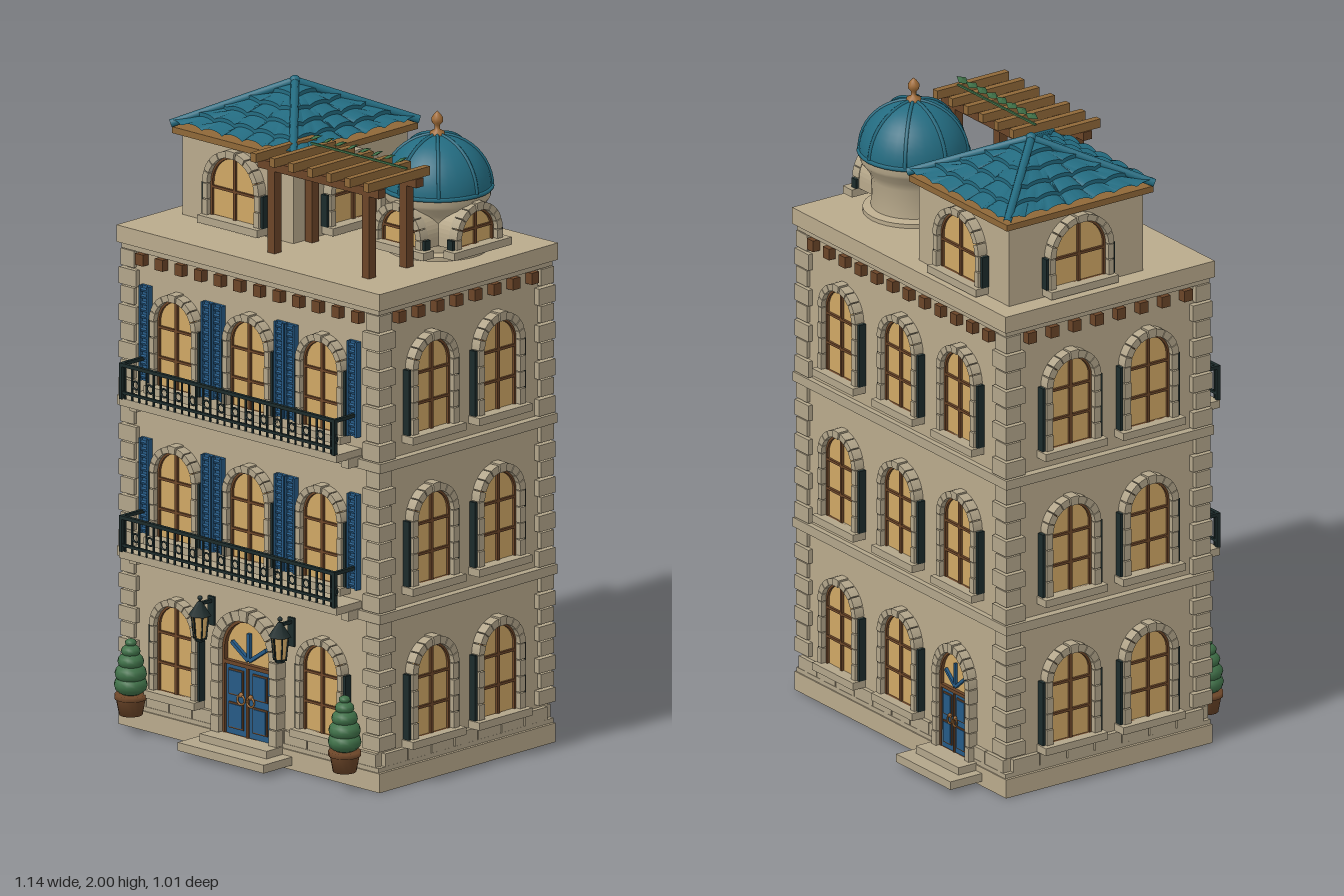
import * as THREE from 'three';
import { mergeGeometries, toCreasedNormals } from 'three/addons/utils/BufferGeometryUtils.js';

const mat = (name, color) => {
  const m = new THREE.MeshStandardMaterial({ color });
  m.name = name;
  return m;
};
const M = {
  wall: mat('wall plaster', 0xb9aa8c), trim: mat('trim stone', 0xb2a58a), glass: mat('lit glass', 0xcfa765),
  teal: mat('teal tile', 0x236b80), blue: mat('blue paint', 0x265a85), wood: mat('dark wood', 0x6b4528),
  oak: mat('light wood', 0x8f6838), leaf: mat('leaf green', 0x3f7048), iron: mat('dark iron', 0x1c2b2b),
  bronze: mat('bronze', 0xa06c38),
};
const CZ = -0.005, HX = 0.525, HZ = 0.37; // wall block centre and half sizes

const boxG = (w, h, d, x = 0, y = 0, z = 0) => new THREE.BoxGeometry(w, h, d).translate(x, y, z);
const at = (geo, x, y, z) => geo.translate(x, y, z);
const merge = (list) => mergeGeometries(list.map((g) => (g.index ? g.toNonIndexed() : g)));
function add(parent, name, material, geos) {
  const mesh = new THREE.Mesh(Array.isArray(geos) ? merge(geos) : geos, material);
  mesh.name = name;
  parent.add(mesh);
  return mesh;
}
function group(parent, name) {
  const g = new THREE.Group();
  g.name = name;
  if (parent) parent.add(g);
  return g;
}
const extrude = (shape, depth) => new THREE.ExtrudeGeometry(shape, { depth, bevelEnabled: false, curveSegments: 12 });

// Arched panel standing on y = 0: straight height h, then a half circle of radius r
function archShape(r, h) {
  const s = new THREE.Shape();
  s.moveTo(-r, 0).lineTo(r, 0).lineTo(r, h).absarc(0, h, r, 0, Math.PI, false);
  s.lineTo(-r, 0);
  return s;
}
// Stone surround: jamb blocks and wedge stones
function surround(r, h, t, depth, stones = 9) {
  const list = [], rows = Math.max(1, Math.round(h / 0.052)), bh = h / rows;
  for (const s of [-1, 1]) for (let i = 0; i < rows; i++)
    list.push(boxG(t, bh - 0.003, depth - (i % 2) * 0.004, s * (r + t / 2), bh * (i + 0.5), depth / 2));
  for (let i = 0; i < stones; i++) {
    const a = (i * Math.PI) / stones + 0.015, b = ((i + 1) * Math.PI) / stones - 0.015;
    const key = i === (stones - 1) / 2 ? 0.004 : 0;
    const s = new THREE.Shape();
    s.absarc(0, 0, r + t + key, a, b, false).absarc(0, 0, r, b, a, true);
    list.push(at(extrude(s, depth + key), 0, h, 0));
  }
  return list;
}
function ringShape(r, h, t) {
  const s = archShape(r, h);
  s.holes.push(archShape(r - t, h));
  return s;
}
function makeWindow(r, h, t, sillW) {
  const g = group(null, 'window'), top = h + r;
  add(g, 'windowGlass', M.glass, at(extrude(archShape(r, h), 0.006), 0, 0, 0.002));
  const bars = [at(extrude(ringShape(r, h, 0.007), 0.014), 0, 0, 0.002), boxG(0.01, top, 0.012, 0, top / 2, 0.01)];
  for (const f of h > 0.1 ? [0.32, 0.66] : [0.45]) bars.push(boxG(2 * r * 0.97, 0.008, 0.012, 0, top * f, 0.01));
  add(g, 'windowBars', M.wood, bars);
  add(g, 'windowSurround', M.trim, surround(r, h, t, 0.033));
  add(g, 'windowEdge', M.iron, [-1, 1].map((s) => boxG(0.01, h, 0.024, s * (r + t + 0.005), h / 2, 0.012)));
  add(g, 'windowSill', M.trim, boxG(sillW, 0.024, 0.047, 0, -0.012, 0.0235));
  return g;
}
function makeDoor() {
  const g = group(null, 'door'), r = 0.105, h = 0.265, leafH = 0.225;
  add(g, 'doorGlass', M.glass, at(extrude(archShape(r, h), 0.006), 0, 0, 0.002));
  add(g, 'doorSurround', M.trim, surround(r, h, 0.032, 0.04, 11));
  add(g, 'doorFrame', M.wood, [at(extrude(ringShape(r, h, 0.009), 0.02), 0, 0, 0.002),
    boxG(0.19, 0.012, 0.02, 0, leafH, 0.014), boxG(0.008, leafH, 0.024, 0, leafH / 2, 0.012)]);
  add(g, 'doorLeaves', M.blue, [-1, 1].map((s) => boxG(0.088, leafH, 0.014, s * 0.048, leafH / 2, 0.01)));
  add(g, 'doorMouldings', M.wood, [-1, 1].flatMap((s) => [0.06, 0.165].map((y) =>
    boxG(0.062, 0.082, 0.006, s * 0.05, y, 0.018))));
  add(g, 'doorPanels', M.blue, [-1, 1].flatMap((s) => [0.06, 0.165].map((y) =>
    boxG(0.052, 0.072, 0.006, s * 0.05, y, 0.021))));
  add(g, 'fanlightBars', M.blue, [0.6, Math.PI / 2, Math.PI - 0.6].map((a) =>
    boxG(0.085, 0.011, 0.012, 0.045).rotateZ(a).translate(0, 0.24, 0.014)));
  add(g, 'doorHandles', M.bronze, [-1, 1].flatMap((s) => [
    new THREE.TorusGeometry(0.015, 0.0035, 6, 14).translate(s * 0.02, 0.118, 0.03),
    new THREE.SphereGeometry(0.008, 8, 6).translate(s * 0.02, 0.133, 0.029)]));
  return g;
}
// Place a piece on one of the four walls of a block
function onWall(parent, piece, side, u, y, cx = 0, cz = CZ, hx = HX, hz = HZ) {
  const p = { front: [cx + u, cz + hz, 0], back: [cx + u, cz - hz, Math.PI],
    left: [cx + hx, cz + u, Math.PI / 2], right: [cx - hx, cz + u, -Math.PI / 2] }[side];
  piece.position.set(p[0], y, p[1]);
  piece.rotation.y = p[2];
  parent.add(piece);
}

function buildBody(root) {
  const g = group(root, 'mainBody');
  add(g, 'walls', M.wall, boxG(2 * HX, 1.49, 2 * HZ, 0, 0.785, CZ));
  add(g, 'base', M.wall, boxG(1.09, 0.06, 0.77, 0, 0.03, CZ));
  add(g, 'roofSlab', M.wall, boxG(1.1, 0.053, 0.78, 0, 1.5435, CZ));
  add(g, 'floorBands', M.trim, [[0.545, 0.03, 1.1, 0.775], [1.02, 0.03, 1.1, 0.775], [1.508, 0.018, 1.075, 0.76],
    [0.068, 0.014, 1.076, 0.765]].map(([y, h, w, d]) => boxG(w, h, d, 0, y, CZ)));
  // Corner blocks, alternating long and short
  const quoins = [];
  for (const [y0, y1] of [[0.125, 0.53], [0.56, 1.005], [1.035, 1.5]]) for (let i = 0; i < 8; i++) {
    const s = (y1 - y0) / 8, w = i % 2 ? 0.055 : 0.072, e = i % 2 ? 0.016 : 0.02;
    for (const sx of [-1, 1]) for (const sz of [-1, 1])
      quoins.push(boxG(w, s - 0.006, w, sx * (HX + e - w / 2), y0 + s * (i + 0.5), CZ + sz * (HZ + e - 0.005 - w / 2)));
  }
  add(g, 'quoins', M.trim, quoins);
  // Plinth stones and corbels around all sides
  const plinth = [], corbels = [];
  for (let i = 0; i < 11; i++) for (const s of [-1, 1]) plinth.push(boxG(0.092, 0.04, 0.02, -0.48 + i * 0.096, 0.096, CZ + s * (HZ + 0.003)));
  for (let i = 0; i < 7; i++) for (const s of [-1, 1]) plinth.push(boxG(0.02, 0.04, 0.097, s * (HX + 0.005), 0.096, CZ - 0.306 + i * 0.102));
  for (let i = 0; i < 12; i++) for (const s of [-1, 1]) corbels.push(boxG(0.032, 0.036, 0.034, -0.451 + i * 0.082, 1.48, CZ + s * (HZ + 0.008)));
  for (let i = 0; i < 8; i++) for (const s of [-1, 1]) corbels.push(boxG(0.034, 0.036, 0.032, s * (HX + 0.01), 1.48, CZ - 0.29 + i * 0.083));
  add(g, 'plinthStones', M.trim, plinth);
  add(g, 'corbels', M.wood, corbels);

  // Windows on each floor, with doors at ground level
  const narrow = makeWindow(0.077, 0.202, 0.02, 0.21), wide = makeWindow(0.077, 0.205, 0.024, 0.232);
  [0.14, 0.622, 1.098].forEach((y, floor) => {
    for (const u of [-0.305, 0, 0.305]) {
      if (floor || u) onWall(g, narrow.clone(), 'front', u, y);
      if (floor || u >= 0) onWall(g, narrow.clone(), 'back', u, y);
    }
    for (const side of ['left', 'right']) for (const u of [-0.14, 0.15]) onWall(g, wide.clone(), side, u, y);
  });
  const door = makeDoor(), backDoor = door.clone();
  backDoor.name = 'backDoor';
  backDoor.scale.set(0.7, 0.88, 0.8);
  onWall(g, door, 'front', 0, 0.065);
  onWall(g, backDoor, 'back', -0.28, 0.065);
  add(g, 'frontSteps', M.trim, [boxG(0.36, 0.026, 0.15, 0, 0.028, 0.43), boxG(0.28, 0.024, 0.09, 0, 0.053, 0.405)]);
  add(g, 'backSteps', M.trim, [boxG(0.28, 0.026, 0.15, -0.28, 0.028, -0.432), boxG(0.22, 0.024, 0.08, -0.28, 0.053, -0.415)]);
}

function buildFrontDetails(root) {
  const g = group(root, 'frontDetails');
  for (const y of [0.56, 1.04]) {
    // Balcony slab, brackets and railing
    const b = group(g, 'balcony');
    b.position.y = y;
    add(b, 'balconySlab', M.trim, [boxG(0.91, 0.024, 0.11, 0, 0.012, 0.418),
      ...[-0.443, 0.443].map((x) => boxG(0.03, 0.03, 0.06, x, -0.013, 0.395))]);
    const rail = [boxG(0.9, 0.011, 0.012, 0, 0.13, 0.472), boxG(0.9, 0.008, 0.009, 0, 0.043, 0.472)];
    for (const s of [-1, 1]) rail.push(boxG(0.011, 0.011, 0.11, s * 0.445, 0.13, 0.418), boxG(0.012, 0.112, 0.012, s * 0.445, 0.078, 0.472));
    for (let i = 0; i < 30; i++) {
      const x = -0.43 + (i * 0.86) / 29;
      rail.push(boxG(0.005, 0.106, 0.005, x, 0.076, 0.472));
      if (i % 2) rail.push(new THREE.TorusGeometry(0.013, 0.003, 5, 12).translate(x + 0.015, 0.075, 0.472));
    }
    add(b, 'balconyRailing', M.iron, rail);
    // Louvred shutters
    const shutters = [];
    for (const x of [-0.305, 0, 0.305]) for (const s of [-1, 1]) {
      const sx = x + s * 0.13;
      shutters.push(boxG(0.041, 0.3, 0.01, sx, 0.21, 0.373));
      for (const e of [-1, 1]) shutters.push(boxG(0.007, 0.3, 0.016, sx + e * 0.017, 0.21, 0.38));
      for (let i = 0; i < 14; i++) shutters.push(boxG(0.028, 0.009, 0.008, 0, 0, 0).rotateX(0.5).translate(sx, 0.073 + i * 0.021, 0.381));
    }
    add(b, 'shutters', M.blue, shutters);
  }
  for (const s of [-1, 1]) {
    // Wall lantern
    const l = group(g, 'lantern');
    l.position.set(s * 0.167, 0, 0.42);
    add(l, 'lanternGlass', M.glass, new THREE.CylinderGeometry(0.026, 0.018, 0.072, 6).translate(0, 0.39, 0));
    const frame = [new THREE.CylinderGeometry(0.006, 0.036, 0.045, 6).translate(0, 0.448, 0),
      new THREE.SphereGeometry(0.008, 8, 6).translate(0, 0.48, 0), new THREE.CylinderGeometry(0.02, 0.014, 0.012, 6).translate(0, 0.35, 0),
      boxG(0.01, 0.01, 0.06, 0, 0.462, -0.03), boxG(0.026, 0.09, 0.01, 0, 0.43, -0.052)];
    for (let i = 0; i < 6; i++) frame.push(boxG(0.004, 0.074, 0.004, 0, 0, 0.023).rotateX(0.1).rotateY((i * Math.PI) / 3).translate(0, 0.39, 0));
    add(l, 'lanternFrame', M.iron, frame);
    // Potted topiary
    const t = group(g, 'topiary');
    t.position.set(s * 0.447, 0, 0.43);
    const v = (x, y) => new THREE.Vector2(x, y);
    add(t, 'pot', M.wood, new THREE.LatheGeometry([v(0, 0.06), v(0.036, 0.06), v(0.045, 0.108), v(0.05, 0.11), v(0.05, 0.125), v(0, 0.125)], 14));
    add(t, 'foliage', M.leaf, [[0.052, 0.155], [0.05, 0.19], [0.041, 0.228], [0.03, 0.26], [0.018, 0.286]].map(([r, y]) =>
      new THREE.SphereGeometry(r, 12, 8).scale(1, 0.68, 1).translate(0, y, 0)));
  }
}

// One tiled slope of a hipped roof: barrel waves across, stepped rows upward
function tiledSlope(hw, depth, rise) {
  const nu = 72, rows = 5, pos = [], idx = [];
  for (let j = 0; j < rows * 2; j++) {
    const v = Math.ceil(j / 2) / rows, lift = j % 2 ? 0.001 : 0.013;
    for (let i = 0; i <= nu; i++) {
      const x = hw * (1 - v) * ((2 * i) / nu - 1);
      pos.push(x, rise * v + lift + 0.015 * Math.sqrt(Math.abs(Math.cos((Math.PI * x) / 0.084))) * (1 - v * 0.5), depth * (1 - v));
      const a = j * (nu + 1) + i;
      if (j && i < nu) idx.push(a - nu - 1, a - nu, a + 1, a - nu - 1, a + 1, a);
    }
  }
  const geo = new THREE.BufferGeometry();
  geo.setAttribute('position', new THREE.Float32BufferAttribute(pos, 3));
  geo.setIndex(idx);
  return toCreasedNormals(geo, 0.7);
}
function buildPavilion(root) {
  const g = group(root, 'roofPavilion'), cx = -0.253, cz = -0.085, hx = 0.232, hz = 0.25, ex = 0.256, ez = 0.276;
  add(g, 'pavilionWalls', M.wall, boxG(2 * hx, 0.26, 2 * hz, cx, 1.7, cz));
  add(g, 'pavilionEaves', M.oak, boxG(2 * ex - 0.006, 0.02, 2 * ez - 0.006, cx, 1.836, cz));
  const win = makeWindow(0.098, 0.1, 0.02, 0.25);
  for (const side of ['front', 'back', 'left', 'right']) onWall(g, win.clone(), side, 0, 1.6, cx, cz, hx, hz);
  const roof = group(g, 'pavilionRoof'), rise = 0.13;
  roof.position.set(cx, 1.842, cz);
  for (let k = 0; k < 4; k++) {
    const slope = add(roof, 'tiledSlope', M.teal, k % 2 ? tiledSlope(ez, ex, rise) : tiledSlope(ex, ez, rise));
    slope.material = M.teal;
    slope.rotation.y = (k * Math.PI) / 2;
  }
  const hips = [];
  for (const sx of [-1, 1]) for (const sz of [-1, 1])
    hips.push(new THREE.TubeGeometry(new THREE.LineCurve3(new THREE.Vector3(sx * ex, 0.014, sz * ez), new THREE.Vector3(0, rise + 0.013, 0)), 8, 0.013, 8));
  add(roof, 'hipTiles', M.teal, [...hips, new THREE.SphereGeometry(0.018, 10, 8).translate(0, rise + 0.012, 0)]);
}

function buildCupola(root) {
  const g = group(root, 'cupola'), R = 0.166, v = (x, y) => new THREE.Vector2(x, y);
  g.position.set(0.32, 0, -0.108);
  add(g, 'drum', M.wall, toCreasedNormals(new THREE.LatheGeometry([v(0.155, 1.565), v(0.155, 1.583), v(0.13, 1.59), v(0.128, 1.68),
    v(0.138, 1.705), v(0.158, 1.73), v(0.163, 1.74), v(0.163, 1.762), v(0, 1.762)], 32), 0.5));
  add(g, 'dome', M.teal, new THREE.SphereGeometry(R, 32, 12, 0, Math.PI * 2, 0, Math.PI / 2).translate(0, 1.762, 0));
  const ribs = [new THREE.TorusGeometry(R, 0.007, 6, 32).rotateX(Math.PI / 2).translate(0, 1.765, 0)];
  for (let i = 0; i < 4; i++) ribs.push(new THREE.TorusGeometry(R, 0.006, 6, 24, Math.PI).rotateY((i * Math.PI) / 4).translate(0, 1.762, 0));
  add(g, 'domeRibs', M.teal, ribs);
  add(g, 'finial', M.bronze, new THREE.LatheGeometry([v(0.024, 1.92), v(0.022, 1.935), v(0.008, 1.942), v(0.008, 1.955),
    v(0.017, 1.965), v(0.018, 1.978), v(0.01, 1.99), v(0, 2)], 14));
  // Arched dormers to the front and the left
  for (const a of [0, Math.PI / 2]) {
    const d = group(g, 'cupolaDormer');
    d.position.y = 1.615;
    d.rotation.y = a;
    add(d, 'dormerBlock', M.wall, at(extrude(archShape(0.098, 0.03), 0.085), 0, 0, 0.065));
    const w = makeWindow(0.078, 0.03, 0.022, 0.25);
    w.position.z = 0.145;
    d.add(w);
  }
}

function buildPergola(root) {
  const g = group(root, 'pergola'), wood = [], rafters = [], leaves = [];
  for (const z of [0.27, 0.105]) {
    wood.push(boxG(0.505, 0.027, 0.032, 0.198, 1.843, z));
    for (const x of [0, 0.395]) wood.push(boxG(0.03, 0.265, 0.03, x, 1.7, z));
  }
  for (let i = 0; i < 7; i++) rafters.push(boxG(0.022, 0.028, 0.268, -0.038 + i * 0.0785, 1.87, 0.188));
  for (let i = 0; i < 8; i++) leaves.push(new THREE.OctahedronGeometry(0.026).scale(0.85, 0.2, 0.95)
    .rotateZ(i % 2 ? 0.45 : 0.3).rotateY(0.5).translate(0.04 + i * 0.051, 1.91, 0.13));
  add(g, 'pergolaPostsAndBeams', M.wood, wood);
  add(g, 'pergolaRafters', M.oak, rafters);
  add(g, 'vineLeaves', M.leaf, leaves);
  add(g, 'vineStem', M.leaf, boxG(0.4, 0.006, 0.006, 0.22, 1.888, 0.13));
}

export function createModel() {
  const root = group(null, 'townhouse');
  buildBody(root);
  buildFrontDetails(root);
  buildPavilion(root);
  buildCupola(root);
  buildPergola(root);
  return root;
}
